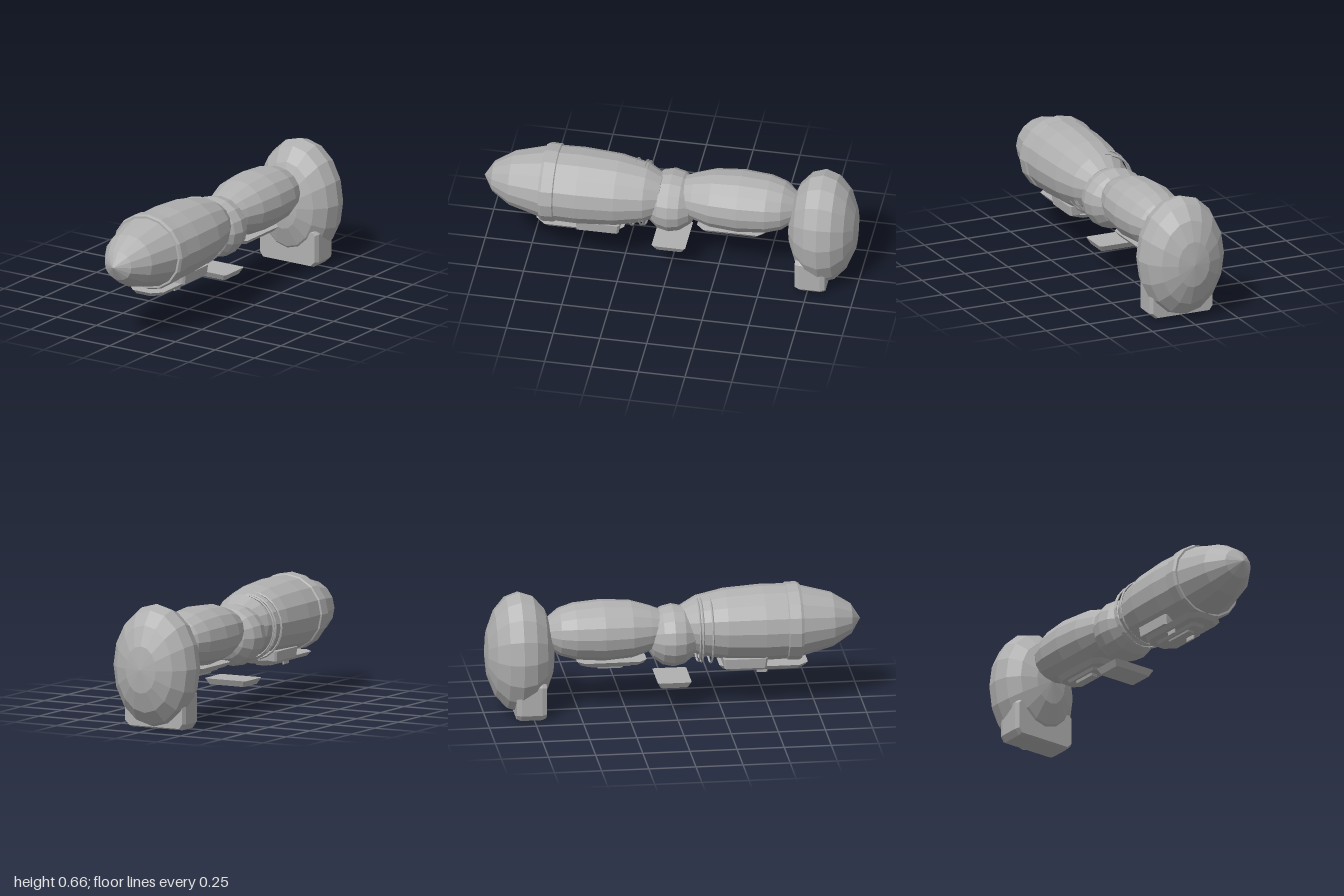
import * as THREE from 'three';

const grey = new THREE.MeshStandardMaterial({ color: 0xb0b0b0 });
const SIDES = 16;

// Faceted mesh from any geometry
function part(name, geometry, x = 0, y = 0, z = 0) {
  const flat = geometry.index ? geometry.toNonIndexed() : geometry;
  flat.computeVertexNormals();
  const mesh = new THREE.Mesh(flat, grey);
  mesh.name = name;
  mesh.position.set(x, y, z);
  return mesh;
}

// Round shell along z; profile is [z, radius] from back to front
function shell(name, profile, x, y, widthScale = 1) {
  const geo = new THREE.LatheGeometry(profile.map(([z, r]) => new THREE.Vector2(r, z)), SIDES);
  geo.rotateX(Math.PI / 2).scale(widthScale, 1, 1);
  return part(name, geo, x, y, 0);
}

// Ellipsoid with its poles on the z axis
function ellipsoid(name, rx, ry, rz, x, y, z) {
  const geo = new THREE.SphereGeometry(1, SIDES, 8).rotateX(Math.PI / 2).scale(rx, ry, rz);
  return part(name, geo, x, y, z);
}

// Horizontal slab with cut corners, narrowing towards its underside
function plate(name, x, top, bottom, z0, z1, width, cut, inset) {
  const w = width / 2, l = (z1 - z0) / 2, h = top - bottom;
  const outline = new THREE.Shape([
    [w - cut, -l], [w, -l + cut], [w, l - cut], [w - cut, l],
    [-w + cut, l], [-w, l - cut], [-w, -l + cut], [-w + cut, -l],
  ].map(([a, b]) => new THREE.Vector2(a, b)));
  const geo = new THREE.ExtrudeGeometry(outline, { depth: h, bevelEnabled: false });
  const p = geo.attributes.position;
  for (let i = 0; i < p.count; i++) {
    if (p.getZ(i) > h / 2) p.setXY(i, p.getX(i) * (1 - inset / w), p.getY(i) * (1 - inset / l));
  }
  geo.rotateX(Math.PI / 2);
  return part(name, geo, x, top, (z0 + z1) / 2);
}

export function createModel() {
  const model = new THREE.Group();
  model.name = 'jointedLimb';

  // Front shell with pointed nose and raised collar
  model.add(shell('frontShell', [
    [0.03, 0], [0.05, 0.11], [0.13, 0.155], [0.28, 0.187], [0.48, 0.2], [0.62, 0.197],
    [0.68, 0.188], [0.85, 0.143], [0.95, 0.08], [1.0, 0],
  ], 0.02, 0.434, 1.05));
  model.add(shell('collar', [
    [0.595, 0.19], [0.605, 0.204], [0.665, 0.206], [0.68, 0.198], [0.68, 0.18],
  ], 0.02, 0.434, 1.055));

  // Middle joint
  model.add(ellipsoid('joint', 0.178, 0.165, 0.15, 0, 0.39, 0));

  // Rear shell
  model.add(shell('rearShell', [
    [-0.68, 0], [-0.66, 0.08], [-0.6, 0.125], [-0.52, 0.149], [-0.37, 0.161], [-0.22, 0.15],
    [-0.12, 0.12], [-0.07, 0.1], [-0.06, 0],
  ], 0, 0.434, 1.1));

  // Large end ball and its chamfered block
  model.add(ellipsoid('endBall', 0.24, 0.33, 0.188, 0, 0.33, -0.81));
  const c = 0.025;
  const face = new THREE.Shape([
    [-0.155, 0.01], [0.145, 0.01], [0.172, 0.035], [0.172, 0.18],
    [0.16, 0.195], [-0.16, 0.195], [-0.172, 0.18], [-0.172, 0.035],
  ].map(([x, y]) => new THREE.Vector2(x, y)));
  model.add(part('endBlock', new THREE.ExtrudeGeometry(face, {
    depth: 0.16 - 2 * c, bevelThickness: c, bevelSize: 0.01, bevelSegments: 1,
  }), 0, 0, -0.845 + c));

  // Thin cables around the narrow end of the front shell
  for (const [z, r] of [[0.132, 0.168], [0.148, 0.172], [0.198, 0.178]]) {
    model.add(part('cable', new THREE.TorusGeometry(r, 0.006, 4, 24), -0.002, 0.415, z));
  }

  // Stacked plates under the front shell
  model.add(plate('frontMount', 0.011, 0.275, 0.222, 0.26, 0.495, 0.25, 0.01, 0.006));
  model.add(plate('frontPlate', 0.011, 0.225, 0.202, 0.245, 0.715, 0.21, 0.05, 0.02));
  model.add(plate('frontPanel', 0.011, 0.203, 0.188, 0.3, 0.63, 0.09, 0.015, 0.012));
  model.add(plate('frontBadge', 0.011, 0.189, 0.179, 0.385, 0.56, 0.045, 0.005, 0.004));
  for (const side of [-1, 1]) {
    model.add(plate('frontStud', 0.011 + side * 0.062, 0.203, 0.181, 0.44, 0.5, 0.012, 0.003, 0.001));
  }

  // Tapered plate under the joint
  model.add(plate('jointPlate', 0, 0.163, 0.13, -0.09, 0.09, 0.25, 0.01, 0.018));

  // Stacked plates under the rear shell
  model.add(plate('rearPlate', 0, 0.276, 0.252, -0.51, -0.14, 0.17, 0.04, 0.02));
  model.add(plate('rearPanel', 0, 0.253, 0.238, -0.45, -0.21, 0.09, 0.012, 0.01));
  model.add(plate('rearBadge', 0, 0.239, 0.224, -0.4, -0.26, 0.045, 0.005, 0.004));

  return model;
}
